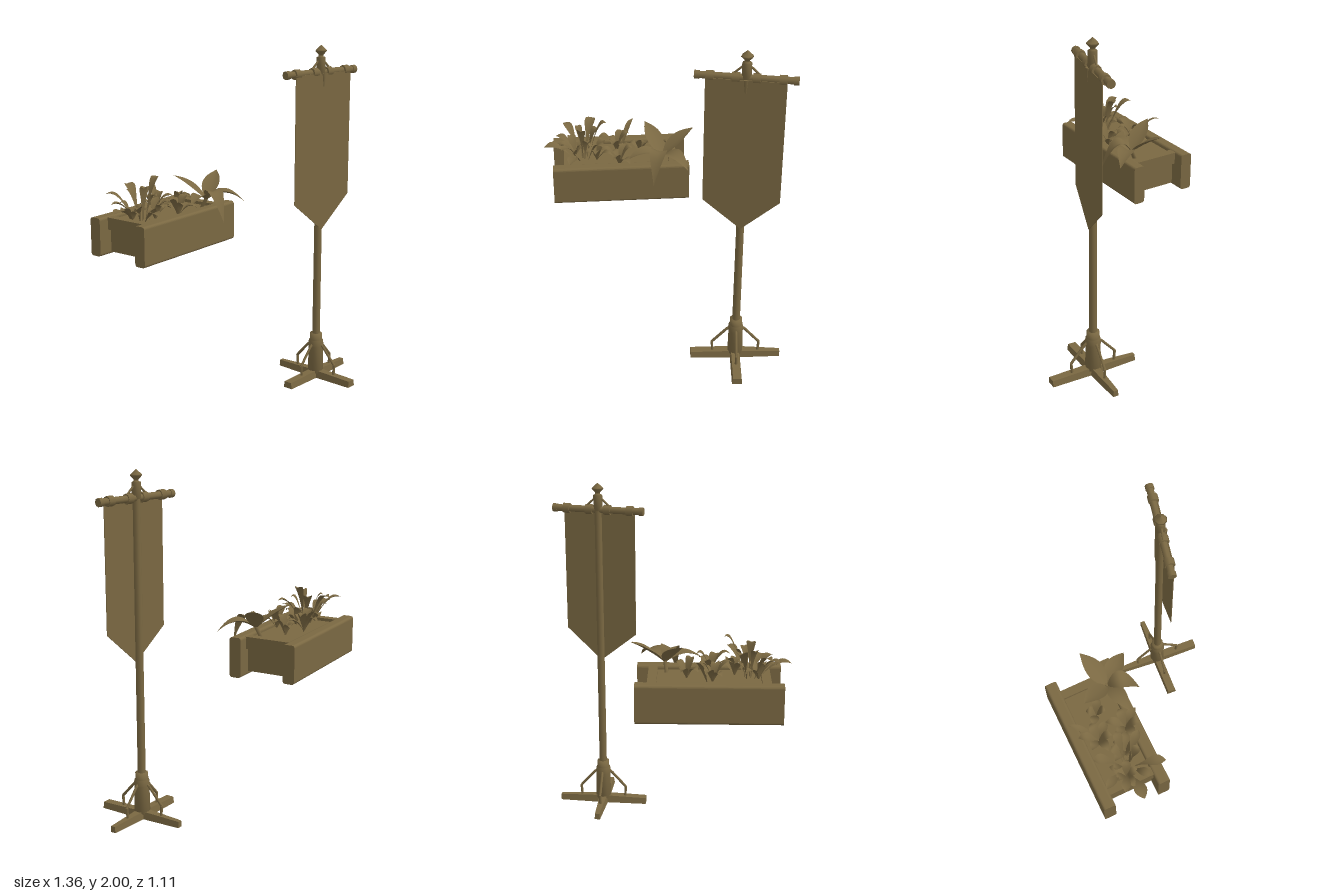
import * as THREE from 'three';

const bronze = new THREE.MeshStandardMaterial({ color: 0x7a6842 });
bronze.name = 'bronze';
const bronzeSheet = bronze.clone();
bronzeSheet.side = THREE.DoubleSide;
bronzeSheet.name = 'bronze sheet';

const V = (x, y, z) => new THREE.Vector3(x, y, z);

function add(parent, name, geometry, x = 0, y = 0, z = 0, material = bronze) {
  const mesh = new THREE.Mesh(geometry, material);
  mesh.name = name;
  mesh.position.set(x, y, z);
  parent.add(mesh);
  return mesh;
}

// Round rod between two points
function rod(parent, name, a, b, r, sides = 8) {
  const mesh = add(parent, name, new THREE.CylinderGeometry(r, r, a.distanceTo(b), sides));
  mesh.position.copy(a).lerp(b, 0.5);
  mesh.quaternion.setFromUnitVectors(V(0, 1, 0), b.clone().sub(a).normalize());
  return mesh;
}

// Folded leaf along a curve; a larger "bias" gives a long stalk before the blade
function leaf(parent, name, base, tip, lift, width, bias = 1) {
  const mid = base.clone().lerp(tip, 0.5);
  mid.y = Math.max(base.y, tip.y) + lift;
  const curve = new THREE.QuadraticBezierCurve3(base, mid, tip);
  const pos = [], index = [], n = 10;
  const side = V(tip.z - base.z, 0, base.x - tip.x).normalize();
  for (let i = 0; i <= n; i++) {
    const t = i / n, p = curve.getPoint(t);
    const w = 0.5 * width * Math.sin(Math.PI * Math.pow(t, bias)) + 0.0025 * (1 - t);
    for (const s of [-1, 0, 1]) pos.push(p.x + side.x * w * s, p.y + Math.abs(s) * w * 0.35, p.z + side.z * w * s);
    if (i < n) for (const k of [0, 1]) {
      const a = i * 3 + k;
      index.push(a, a + 3, a + 1, a + 1, a + 3, a + 4);
    }
  }
  const g = new THREE.BufferGeometry();
  g.setAttribute('position', new THREE.Float32BufferAttribute(pos, 3));
  g.setIndex(index);
  g.computeVertexNormals();
  add(parent, name, g, 0, 0, 0, bronzeSheet);
}

// Long board with rounded profile, running along x
function board(parent, name, length, height, depth, x, y, z) {
  const r = 0.015, w = depth / 2 - r, h = height / 2 - r;
  const s = new THREE.Shape();
  s.absarc(w, h, r, 0, Math.PI / 2);
  s.absarc(-w, h, r, Math.PI / 2, Math.PI);
  s.absarc(-w, -h, r, Math.PI, Math.PI * 1.5);
  s.absarc(w, -h, r, Math.PI * 1.5, Math.PI * 2);
  const g = new THREE.ExtrudeGeometry(s, { depth: length, bevelEnabled: false, curveSegments: 3 });
  g.translate(0, 0, -length / 2).rotateY(Math.PI / 2);
  return add(parent, name, g, x, y, z);
}

function createBanner() {
  const stand = new THREE.Group();
  stand.name = 'bannerStand';
  stand.position.set(0.41, 0, 0.285);

  // Crossed feet with braces
  const base = new THREE.Group();
  base.name = 'base';
  base.rotation.y = -0.075;
  stand.add(base);
  for (let i = 0; i < 4; i++) {
    const arm = new THREE.Group();
    arm.name = 'footArm';
    arm.rotation.y = i * Math.PI / 2;
    base.add(arm);
    const foot = new THREE.BoxGeometry(0.267, 0.045, 0.06);
    const p = foot.attributes.position;
    for (let k = 0; k < p.count; k++) {
      if (p.getX(k) > 0) {
        if (p.getY(k) > 0) p.setY(k, 0.014);
        if (i < 2) p.setZ(k, p.getZ(k) * 0.55);
      }
      if (p.getY(k) > 0) p.setZ(k, p.getZ(k) * 0.8);
    }
    foot.computeVertexNormals();
    add(arm, 'foot', foot, 0.1335, 0.0225, 0);
    const path = [V(0.135, 0.035, 0), V(0.14, 0.1, 0), V(0.055, 0.195, 0), V(0.03, 0.215, 0)];
    for (let k = 0; k < 3; k++) rod(arm, 'brace', path[k], path[k + 1], 0.008, 6);
  }
  const sleeve = [[0, 0.03], [0.046, 0.03], [0.043, 0.2], [0.047, 0.2], [0.042, 0.235], [0.037, 0.235], [0.037, 0.275], [0, 0.275]];
  add(base, 'sleeve', new THREE.LatheGeometry(sleeve.map(q => new THREE.Vector2(...q)), 10));

  // Pole and finial
  add(stand, 'pole', new THREE.CylinderGeometry(0.021, 0.023, 1.75, 10), 0, 1.005, 0);
  const tip = [[0, 1.84], [0.026, 1.84], [0.026, 1.93], [0.014, 1.935], [0.014, 1.945], [0.034, 1.965], [0.03, 1.972], [0, 2]];
  add(stand, 'finial', new THREE.LatheGeometry(tip.map(q => new THREE.Vector2(...q)), 8));

  // Crossbar, stays, rings and cloth
  const top = new THREE.Group();
  top.name = 'crossbarAndCloth';
  top.rotation.y = -0.23;
  stand.add(top);
  rod(top, 'crossbar', V(-0.265, 1.845, 0), V(0.265, 1.845, 0), 0.02, 8);
  for (const s of [-1, 1]) {
    rod(top, 'barEnd', V(s * 0.245, 1.845, 0), V(s * 0.272, 1.845, 0), 0.024, 8);
    rod(top, 'stay', V(s * 0.015, 1.915, 0), V(s * 0.085, 1.85, 0), 0.006, 6);
    for (const x of [0.055, 0.19]) rod(top, 'clothRing', V(s * x - 0.02, 1.845, 0.003), V(s * x + 0.02, 1.845, 0.003), 0.029, 8);
  }
  const peg = add(top, 'frontPeg', new THREE.CylinderGeometry(0.014, 0.004, 0.075, 6), 0, 1.805, 0.03);
  peg.scale.z = 0.5;
  const cloth = new THREE.Shape([[-0.213, 1.84], [-0.213, 1.1], [0.003, 0.925], [0.213, 1.115], [0.213, 1.84]].map(q => new THREE.Vector2(...q)));
  add(top, 'cloth', new THREE.ExtrudeGeometry(cloth, { depth: 0.004, bevelEnabled: false }), 0, 0, 0.022);
  return stand;
}

function createPlanter() {
  const planter = new THREE.Group();
  planter.name = 'planter';
  board(planter, 'frontBoard', 0.795, 0.23, 0.07, -0.232, 0.96, -0.188);
  board(planter, 'backBoard', 0.795, 0.22, 0.07, -0.232, 0.965, -0.518);
  add(planter, 'soilBox', new THREE.BoxGeometry(0.62, 0.185, 0.29), -0.232, 0.96, -0.353);
  for (const s of [-1, 1]) add(planter, 'endRail', new THREE.BoxGeometry(0.05, 0.07, 0.29), -0.232 + s * 0.308, 1.035, -0.353);

  // Large flower: tip x, y, z, lift, width
  const petals = [
    [0.2, 1.24, -0.31, -0.05, 0.1], [0.15, 1.09, -0.065, 0.09, 0.1], [-0.05, 1.0, -0.06, 0.16, 0.1],
    [-0.195, 1.11, -0.18, 0.07, 0.09], [-0.08, 1.24, -0.41, -0.05, 0.1],
  ];
  for (const [x, y, z, lift, w] of petals) leaf(planter, 'petal', V(0.01, 1.1, -0.235), V(x, y, z), lift, w, 0.8);
  rod(planter, 'flowerStem', V(0, 1.04, -0.27), V(0.01, 1.11, -0.235), 0.012, 6);

  // Stalked leaves on the left: tip x, y, z, width
  const stalks = [
    [-0.68, 1.13, -0.33, 0.07], [-0.56, 1.2, -0.5, 0.05], [-0.39, 1.23, -0.5, 0.06], [-0.61, 1.16, -0.41, 0.05],
    [-0.53, 1.12, -0.13, 0.06], [-0.46, 1.24, -0.3, 0.05], [-0.31, 1.28, -0.33, 0.05], [-0.36, 1.22, -0.38, 0.05],
    [-0.58, 1.15, -0.25, 0.05], [-0.33, 1.19, -0.2, 0.05], [-0.42, 1.2, -0.24, 0.05], [-0.48, 1.22, -0.42, 0.04],
  ];
  for (const [x, y, z, w] of stalks) leaf(planter, 'stalkedLeaf', V(-0.45 + (x + 0.45) * 0.25, 1.05, -0.33 + (z + 0.33) * 0.2), V(x, y, z), 0.03, w, 1.9);

  // Low leaf tufts: centre x, z, leaf reach, count
  const tufts = [[-0.25, -0.41, 0.1, 6], [-0.24, -0.24, 0.1, 6], [-0.5, -0.36, 0.09, 5], [-0.37, -0.3, 0.09, 5], [-0.11, -0.36, 0.07, 4]];
  for (const [cx, cz, reach, count] of tufts) for (let i = 0; i < count; i++) {
    const a = i / count * Math.PI * 2 + cx * 9, r = reach * (0.8 + 0.3 * (i % 2));
    leaf(planter, 'tuftLeaf', V(cx, 1.045, cz), V(cx + r * Math.cos(a), 1.1 + 0.05 * (i % 3) / 2, cz + r * Math.sin(a)), 0.045, 0.05, 1.1);
  }
  leaf(planter, 'longLeaf', V(-0.22, 1.05, -0.42), V(-0.14, 1.19, -0.54), 0.02, 0.03);
  return planter;
}

export function createModel() {
  const model = new THREE.Group();
  model.name = 'bannerAndPlanter';
  model.add(createBanner(), createPlanter());
  return model;
}
